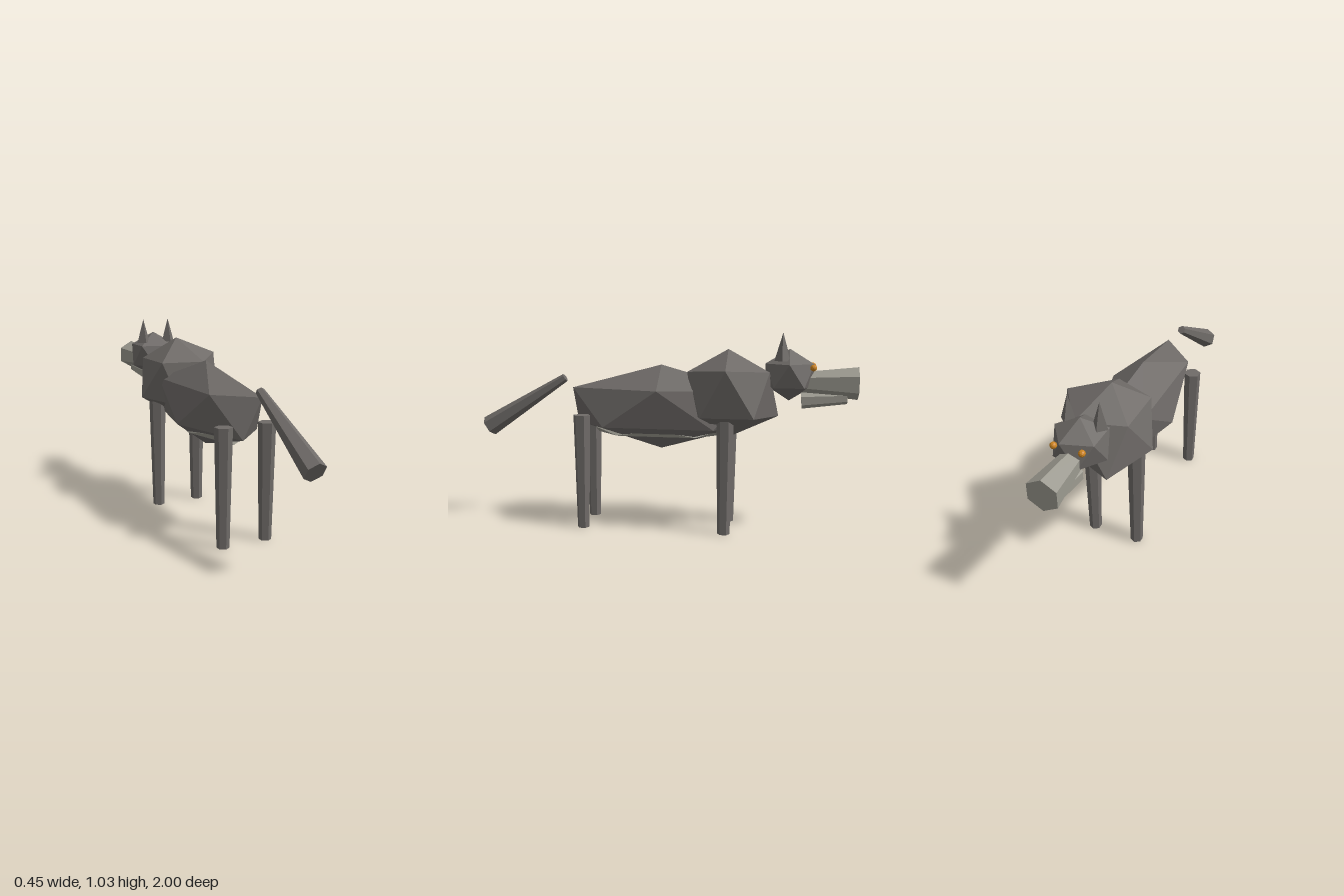
import * as THREE from 'three';
import { ConvexGeometry } from 'three/addons/geometries/ConvexGeometry.js';

const CX = -0.0135; // symmetry plane of the animal, which looks towards -z

export function createModel() {
  const model = new THREE.Group();
  const mat = (name, color) => {
    const m = new THREE.MeshStandardMaterial({ color, flatShading: true });
    m.name = name;
    return m;
  };
  const fur = mat('dark fur', 0x6f6b68);
  const paleFur = mat('pale fur', 0x9c9a90);
  const amber = mat('amber', 0xcc831e);

  const add = (name, geometry, material) => {
    const mesh = new THREE.Mesh(geometry, material);
    mesh.name = name;
    model.add(mesh);
    return mesh;
  };

  // Twenty-sided solid with a corner on top and bottom, stretched to radii
  const icoPoints = ([cx, cy, cz], [rx, ry, rz]) => {
    const points = [new THREE.Vector3(cx, cy + ry, cz), new THREE.Vector3(cx, cy - ry, cz)];
    for (let i = 0; i < 10; i++) {
      const a = (i * Math.PI) / 5;
      const h = i % 2 ? -0.447 : 0.447;
      points.push(new THREE.Vector3(
        cx + 0.894 * rx * Math.cos(a), cy + h * ry, cz - 0.894 * rz * Math.sin(a)));
    }
    return points;
  };
  const hull = (name, points, material) => add(name, new ConvexGeometry(points), material);

  // Six-sided tapered limb between two points
  const limb = (name, from, to, r0, r1, material) => {
    const a = new THREE.Vector3(...from);
    const b = new THREE.Vector3(...to);
    const dir = b.clone().sub(a);
    const mesh = add(name, new THREE.CylinderGeometry(r1, r0, dir.length(), 6), material);
    mesh.position.copy(a).add(b).multiplyScalar(0.5);
    mesh.quaternion.setFromUnitVectors(new THREE.Vector3(0, 1, 0), dir.normalize());
    return mesh;
  };

  // Trunk, belly and head
  hull('body', icoPoints([CX, 0.643, 0.005], [0.188, 0.222, 0.55]), fur);
  hull('belly', icoPoints([CX, 0.513, 0.02], [0.125, 0.04, 0.395]), paleFur);
  hull('head', icoPoints([CX, 0.822, -0.657], [0.145, 0.132, 0.143]), fur);

  // Uneven chest mass: top, upper ring, lower ring, bottom
  const chest = [
    [CX, 0.95, -0.345],
    [0.225, 0.855, -0.35], [0.05, 0.835, -0.14], [-0.158, 0.83, -0.22],
    [-0.158, 0.83, -0.48], [0.075, 0.84, -0.56],
    [0.18, 0.615, -0.22], [-0.08, 0.6, -0.15], [-0.225, 0.63, -0.35],
    [-0.105, 0.595, -0.605], [0.18, 0.615, -0.49],
    [CX, 0.5, -0.37],
  ];
  hull('chest', chest.map((p) => new THREE.Vector3(...p)), fur);

  // Muzzle, jaw and tail
  limb('muzzle', [CX, 0.785, -0.7], [CX, 0.783, -1], 0.05, 0.083, paleFur);
  limb('jaw', [CX, 0.692, -0.72], [CX, 0.708, -0.947], 0.043, 0.03, paleFur);
  limb('tail', [CX, 0.788, 0.53], [CX, 0.512, 0.97], 0.022, 0.056, fur);

  // Paired parts
  for (const [side, s] of [['left', 1], ['right', -1]]) {
    for (const [end, z] of [['front', -0.342], ['back', 0.408]]) {
      const x = CX + s * 0.1215;
      limb(`${end} ${side} leg`, [x, 0, z], [x, 0.605, z], 0.032, 0.045, fur);
    }
    const ear = add(`${side} ear`, new THREE.ConeGeometry(0.039, 0.135, 4), fur);
    ear.position.set(CX + s * 0.078, 0.965, -0.62);
    const eye = add(`${side} eye`, new THREE.IcosahedronGeometry(0.017, 1), amber);
    eye.position.set(CX + s * 0.069, 0.864, -0.775);
  }

  return model;
}
